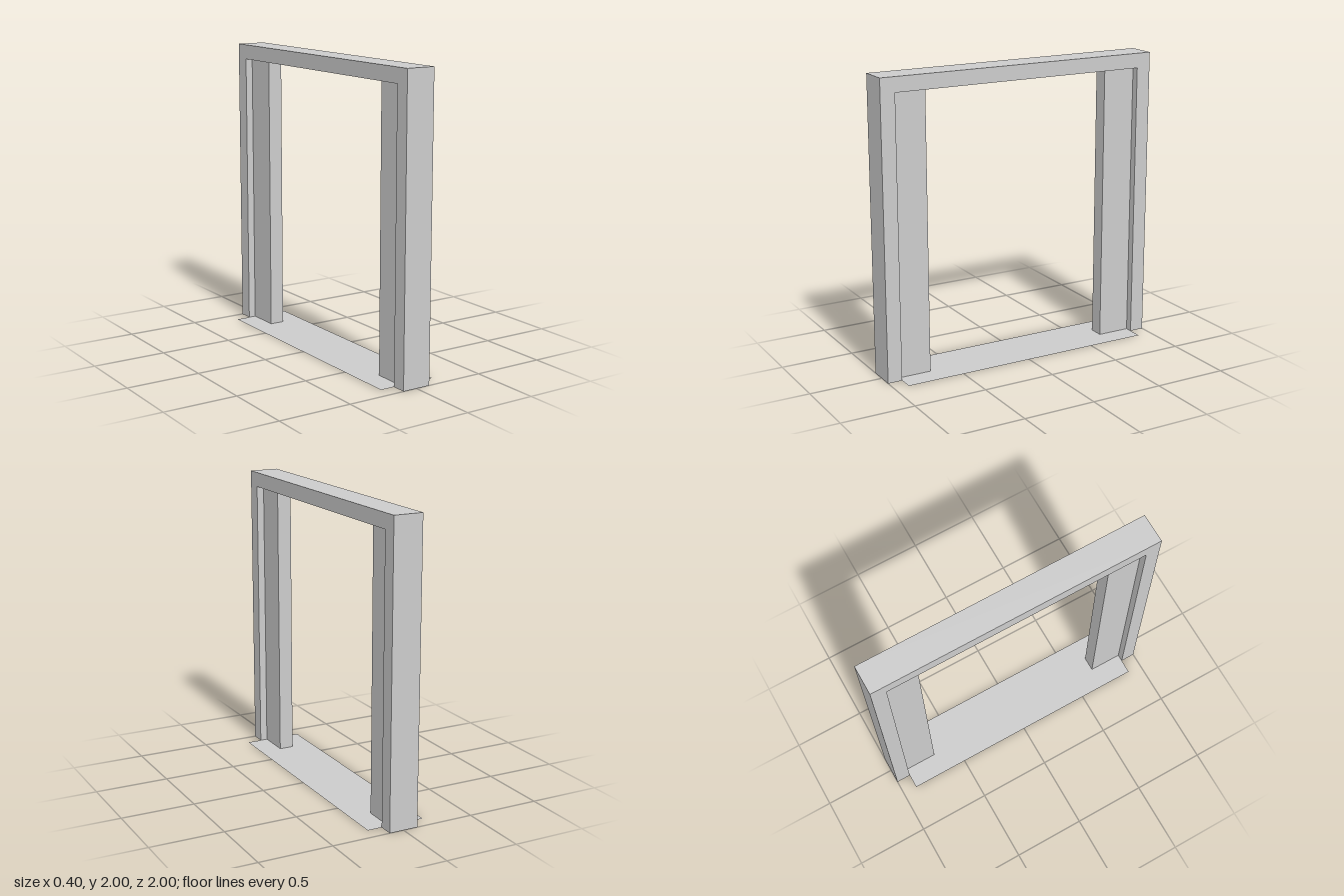
import * as THREE from 'three';

export function createModel() {
  const group = new THREE.Group();
  const material = new THREE.MeshStandardMaterial({ color: 0xcccccc, flatShading: true });

  const add = (name, geometry, mat = material) => {
    const mesh = new THREE.Mesh(geometry, mat);
    mesh.name = name;
    group.add(mesh);
    return mesh;
  };

  // Outer frame: two posts and a lintel in one piece, open at the bottom
  const outline = new THREE.Shape([
    [-1, 0], [-0.9, 0], [-0.9, 1.9], [0.9, 1.9],
    [0.9, 0], [1, 0], [1, 2], [-1, 2],
  ].map(([z, y]) => new THREE.Vector2(z, y)));
  const frame = new THREE.ExtrudeGeometry(outline, { depth: 0.2, bevelEnabled: false });
  frame.translate(0, 0, -0.1).rotateY(Math.PI / 2);
  add('doorFrame', frame);

  // Narrower side panels set against the inside of each post
  for (const [name, side] of [['frontPanel', 1], ['backPanel', -1]]) {
    add(name, new THREE.BoxGeometry(0.1, 1.9, 0.23)).position.set(0, 0.95, side * 0.785);
  }

  // Flat threshold sheet between the posts
  const sheet = material.clone();
  sheet.side = THREE.DoubleSide;
  add('threshold', new THREE.PlaneGeometry(0.4, 1.8).rotateX(-Math.PI / 2), sheet);

  return group;
}
